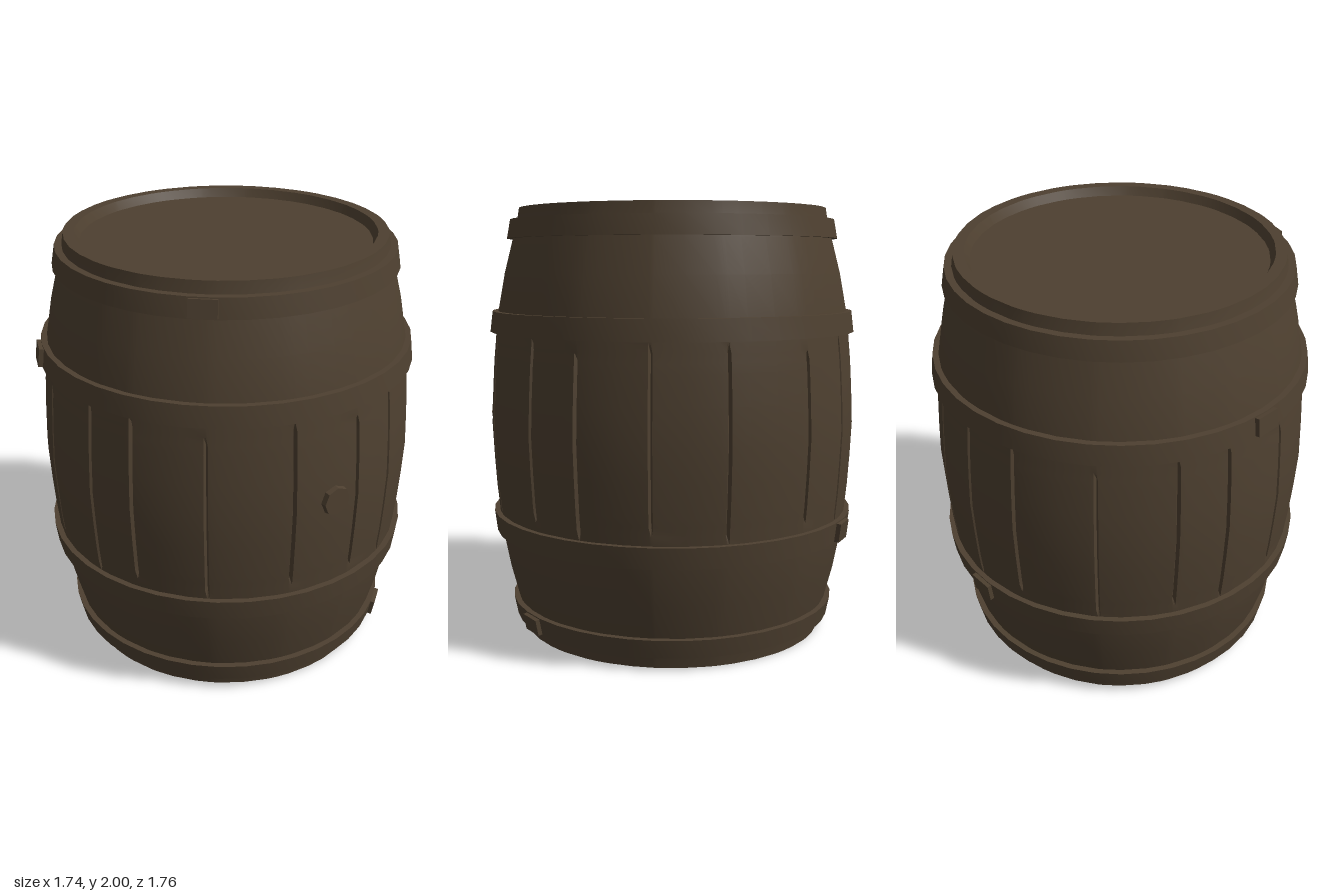
import * as THREE from 'three';
import { toCreasedNormals } from 'three/addons/utils/BufferGeometryUtils.js';

const V = (x, y) => new THREE.Vector2(x, y);
const RAD = Math.PI / 180;

// Angles (from the front, towards +x) of the open seams between staves
const SEAMS = [7.4, 23.3, 50, 67, 89, 111, 138, 157, 175, 200, 223, 239, 261, 284, 299, 321, 346];

// Lower half of the bulging side, mirrored to make the upper half
const HALF = [[0.725, 0], [0.735, 0.06], [0.757, 0.145], [0.797, 0.3], [0.831, 0.48], [0.842, 0.575],
  [0.846, 0.62], [0.85, 0.66], [0.854, 0.7], [0.863, 0.84]];

function bodyGeometry() {
  const side = [...HALF, [0.87, 1], ...HALF.map(([r, y]) => [r, 2 - y]).reverse()];
  const profile = [[0, 0.04], [0.655, 0.04], [0.675, 0], ...side, [0.675, 2], [0.655, 1.96], [0, 1.96]];

  // Even columns, plus three narrow columns at each seam
  const columns = [];
  for (let i = 0; i <= 40; i++) {
    const a = i * 9 * RAD;
    if (!SEAMS.some((s) => Math.abs(s * RAD - a) < 0.03)) columns.push({ a, seam: -1 });
  }
  SEAMS.forEach((s, k) => [-0.011, 0, 0.011].forEach((d) =>
    columns.push({ a: s * RAD + d, seam: d === 0 ? k : -1 })));
  columns.sort((p, q) => p.a - q.a);

  const geo = new THREE.LatheGeometry(profile.map(([r, y]) => V(r, y)), columns.length - 1);
  const pos = geo.attributes.position;
  columns.forEach(({ a, seam }, i) => profile.forEach(([r, y], j) => {
    // Seams are pressed in between the two middle hoops, with uneven ends
    const low = seam % 2 ? 0.61 : 0.65;
    const high = seam % 3 ? 1.39 : 1.35;
    const radius = seam >= 0 && r > 0.8 && y > low && y < high ? r - 0.02 : r;
    pos.setXYZ(i * profile.length + j, Math.sin(a) * radius, y, Math.cos(a) * radius);
  }));
  return toCreasedNormals(geo, 0.5);
}

// Closed band, flaring towards the middle of the barrel
function hoopGeometry(y0, y1, r0, r1) {
  const t = 0.05;
  const points = [V(r0 - t, y0), V(r0, y0), V(r1, y1), V(r1 - t, y1)];
  return toCreasedNormals(new THREE.LatheGeometry(points, 40), 0.5);
}

export function createModel() {
  const barrel = new THREE.Group();
  barrel.name = 'barrel';
  const wood = new THREE.MeshStandardMaterial({ color: 0x4e4030 });
  wood.name = 'dark wood';

  const add = (name, geometry) => {
    const mesh = new THREE.Mesh(geometry, wood);
    mesh.name = name;
    mesh.position.z = -0.005;
    barrel.add(mesh);
    return mesh;
  };

  add('body', bodyGeometry());

  // Hoops, each with a small overlapping clasp
  const hoops = [
    ['bottom', 0.06, 0.145, 0.768, 0.785, 40],
    ['lowerMiddle', 0.48, 0.577, 0.857, 0.869, 159],
    ['upperMiddle', 1.43, 1.525, 0.869, 0.857, 251],
    ['top', 1.86, 1.947, 0.783, 0.767, -40],
  ];
  for (const [name, y0, y1, r0, r1, angle] of hoops) {
    add(name + 'Hoop', hoopGeometry(y0, y1, r0, r1));
    const clasp = add(name + 'Clasp', new THREE.BoxGeometry(0.12, y1 - y0 - 0.01, 0.04));
    const a = angle * RAD;
    const r = (r0 + r1) / 2 - 0.003;
    clasp.rotation.order = 'YXZ';
    clasp.rotation.set(Math.atan2(r1 - r0, y1 - y0), a, 0);
    clasp.position.set(Math.sin(a) * r, (y0 + y1) / 2, Math.cos(a) * r - 0.005);
  }

  // Bung plug on the front
  const bung = new THREE.CylinderGeometry(0.066, 0.075, 0.06, 8);
  bung.rotateX(Math.PI / 2);
  add('bung', toCreasedNormals(bung, 0.5)).position.set(-0.015, 1.02, 0.852);

  return barrel;
}
